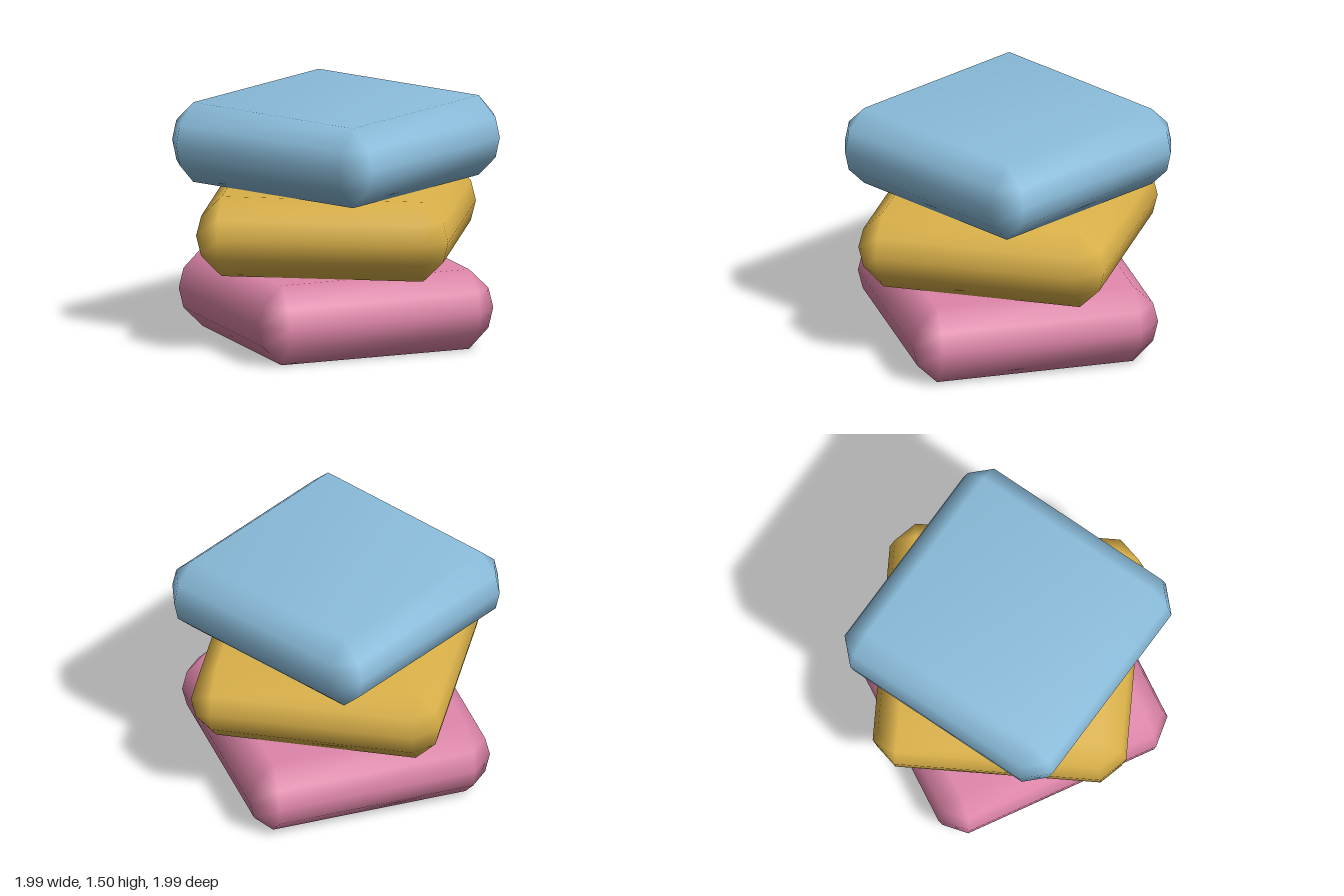
import * as THREE from 'three';
import { mergeVertices } from 'three/addons/utils/BufferGeometryUtils.js';

const CORE = 0.625; // half width of the flat top and bottom
const HEIGHT = 0.5;
// Side profile: [height, bulge beyond the core]
const PROFILE = [[0, 0], [0.125, 0.126], [0.25, 0.157], [0.375, 0.126], [HEIGHT, 0]];

// Square cushion with bulging sides and cut corners, from stacked eight-point rings
function cushionGeometry() {
  const positions = [], index = [], n = 8;
  for (const [y, bulge] of PROFILE) {
    const w = CORE + bulge, c = CORE + bulge * 0.06;
    for (let q = 0; q < 4; q++) {
      const cos = Math.round(Math.cos(q * Math.PI / 2));
      const sin = Math.round(Math.sin(q * Math.PI / 2));
      for (const [x, z] of [[w, c], [c, w]]) {
        positions.push(x * cos - z * sin, y, x * sin + z * cos);
      }
    }
  }
  // Sides
  for (let r = 0; r < PROFILE.length - 1; r++) {
    for (let k = 0; k < n; k++) {
      const a = r * n + k, b = r * n + (k + 1) % n;
      index.push(a, a + n, b, b, a + n, b + n);
    }
  }
  // Flat bottom and top
  const top = (PROFILE.length - 1) * n;
  for (let k = 1; k < n - 1; k++) {
    index.push(0, k, k + 1, top, top + k + 1, top + k);
  }
  let geometry = new THREE.BufferGeometry();
  geometry.setAttribute('position', new THREE.Float32BufferAttribute(positions, 3));
  geometry.setIndex(index);
  geometry = mergeVertices(geometry, 1e-4);
  geometry.computeVertexNormals();
  return geometry;
}

export function createModel() {
  const group = new THREE.Group();
  group.name = 'cushionStack';
  const geometry = cushionGeometry();
  const cushions = [
    ['bottomCushion', 'pink', 0xde85a9],
    ['middleCushion', 'gold', 0xddb34a],
    ['topCushion', 'skyBlue', 0x8bbddc],
  ];
  // Each cushion is twisted a little further than the one below
  cushions.forEach(([name, colourName, color], i) => {
    const material = new THREE.MeshStandardMaterial({ color });
    material.name = colourName;
    const mesh = new THREE.Mesh(geometry, material);
    mesh.name = name;
    mesh.position.y = i * HEIGHT;
    mesh.rotation.y = -i * THREE.MathUtils.degToRad(30.45);
    group.add(mesh);
  });
  return group;
}
